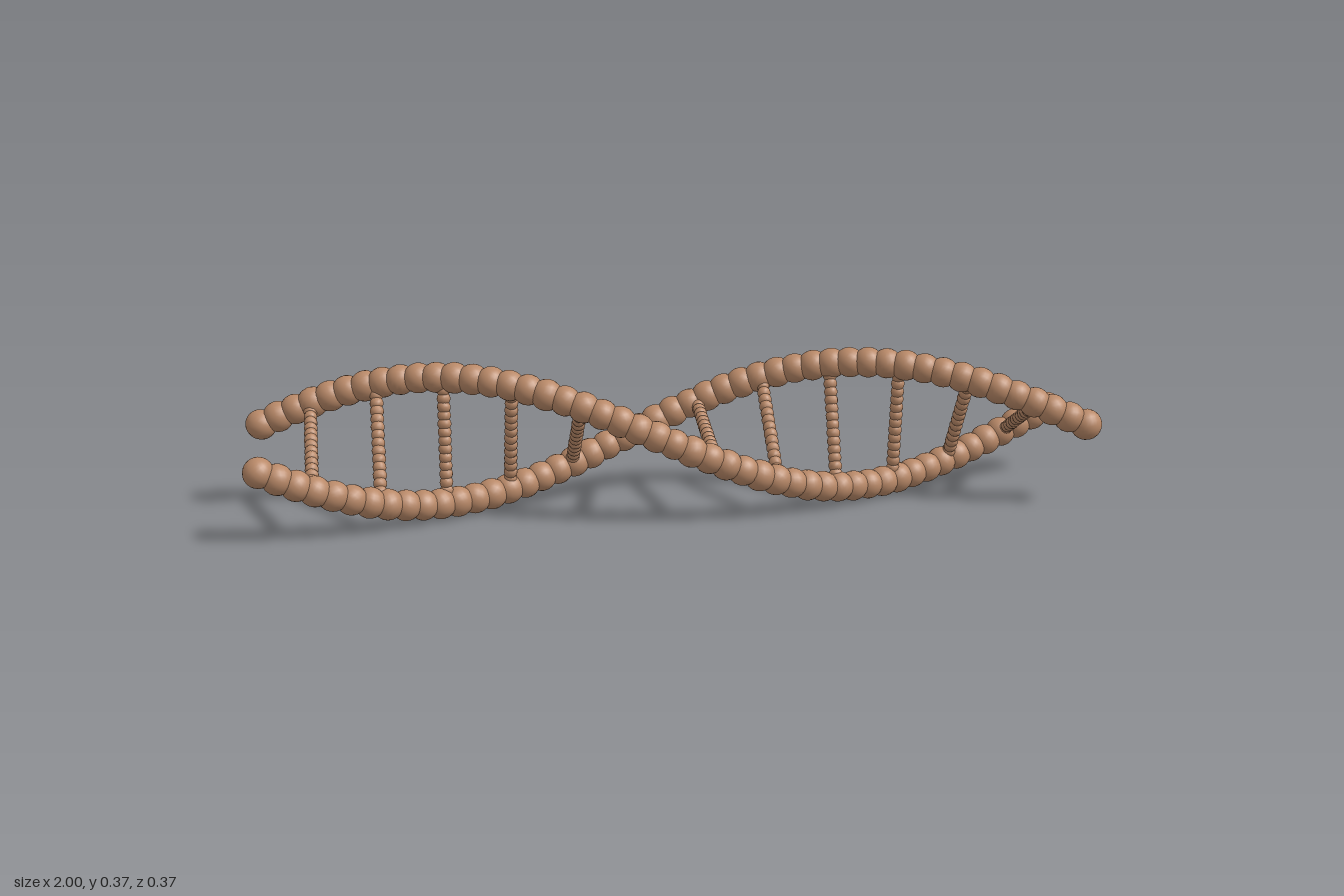
import * as THREE from 'three';
import { mergeGeometries } from 'three/addons/utils/BufferGeometryUtils.js';

const R = 0.148;        // helix radius
const BEAD = 0.036;     // strand bead radius
const HALF = 0.964;     // x of the last bead centre
const CY = 0.186;       // height of the helix axis
const BEADS = 48;
const RUNGS = 12;
const RUNG_STEP = 0.154;
const RUNG_BEADS = 15;

// Small seeded generator for the hand-made unevenness
let seed = 7;
const rand = () => {
  seed = (seed * 16807) % 2147483647;
  return seed / 2147483647;
};

// Point on one of the two strands (side = 1 or -1), one full turn over two units
function helix(x, side) {
  return new THREE.Vector3(
    x,
    CY - side * R * Math.sin(Math.PI * x),
    side * R * Math.cos(Math.PI * x),
  );
}

// Slightly uneven, randomly turned bead
function bead(position, radius, detail) {
  const g = new THREE.SphereGeometry(radius, detail, Math.round(detail * 0.7));
  const wobble = () => 0.98 + rand() * 0.06;
  g.scale(wobble(), wobble(), wobble());
  g.rotateX(rand() * Math.PI).rotateY(rand() * Math.PI).rotateZ(rand() * Math.PI);
  return g.translate(position.x, position.y, position.z);
}

export function createModel() {
  const model = new THREE.Group();
  model.name = 'doubleHelix';
  const material = new THREE.MeshStandardMaterial({ color: 0xb98968 });

  const add = (name, parts) => {
    const mesh = new THREE.Mesh(mergeGeometries(parts), material);
    mesh.name = name;
    model.add(mesh);
  };

  // Two strands of overlapping beads
  for (const side of [1, -1]) {
    const parts = [];
    for (let i = 0; i < BEADS; i++) {
      const x = -HALF + (2 * HALF * i) / (BEADS - 1);
      parts.push(bead(helix(x, side), BEAD, 20));
    }
    add(side > 0 ? 'strandA' : 'strandB', parts);
  }

  // Thin beaded rungs joining the strands
  for (let k = 0; k < RUNGS; k++) {
    const x = (k - (RUNGS - 1) / 2) * RUNG_STEP;
    const a = helix(x, 1);
    const b = helix(x, -1);
    const parts = [];
    for (let i = 0; i < RUNG_BEADS; i++) {
      const t = (i + 0.5) / RUNG_BEADS;
      parts.push(bead(a.clone().lerp(b, t), 0.016, 12));
    }
    add(`rung${k + 1}`, parts);
  }

  return model;
}
